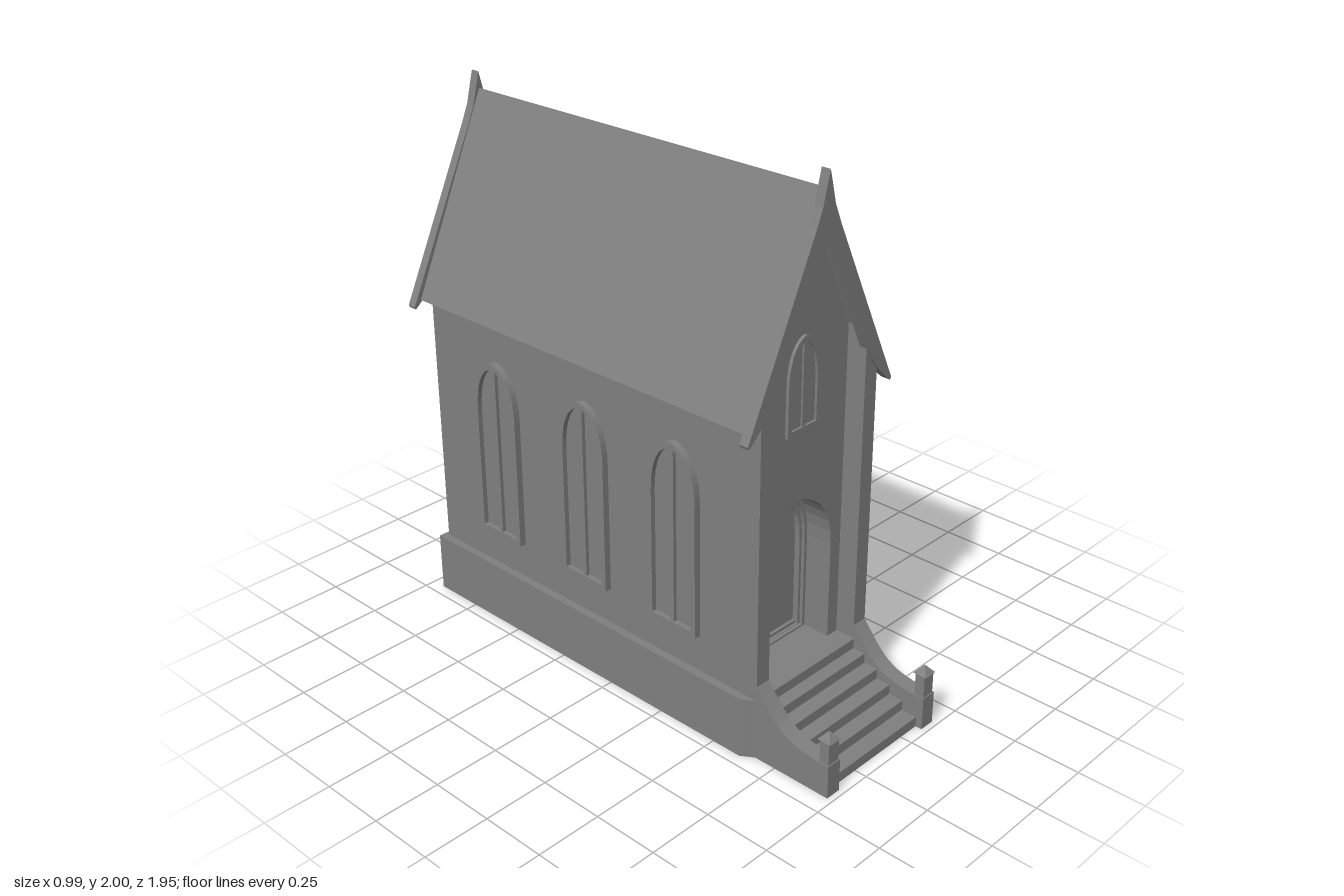
import * as THREE from 'three';

const CX = -0.141; // centre line of the nave
const DOOR_Z = 0.45; // back of the porch
const mat = new THREE.MeshStandardMaterial({ color: 0x7f7f7f, flatShading: true, side: THREE.DoubleSide });

const poly = (pts) => new THREE.Shape(pts.map(([x, y]) => new THREE.Vector2(x, y)));

// Mirror a half profile (u, y), listed from the centre outwards, about x = CX
const symmetric = (half) => [
  ...half.map(([u, y]) => [CX + u, y]),
  ...half.slice().reverse().map(([u, y]) => [CX - u, y]),
];

// Closed chevron between an outer and an inner half line, both listed from the ridge to the eave
function chevron(outer, inner) {
  const place = (pts, s) => pts.map(([u, y]) => [CX + s * u, y]);
  return poly([
    ...place(outer, 1), ...place(inner, 1).reverse(),
    ...place(inner, -1).slice(1), ...place(outer, -1).slice(1).reverse(),
  ]);
}

function add(parent, name, geo, x = 0, y = 0, z = 0) {
  const m = new THREE.Mesh(geo, mat);
  m.name = name;
  m.position.set(x, y, z);
  parent.add(m);
  return m;
}

function extrude(parent, name, shape, z0, z1) {
  const geo = new THREE.ExtrudeGeometry(shape, { depth: z1 - z0, bevelEnabled: false });
  return add(parent, name, geo, 0, 0, z0);
}

const box = (parent, name, w, h, d, x, y, z) => add(parent, name, new THREE.BoxGeometry(w, h, d), x, y, z);

// Right half of a slightly pointed arch, from the springing to the crown
function halfArch(w, top, rise, point, n = 8) {
  const s = top - rise;
  return new THREE.CubicBezierCurve(
    new THREE.Vector2(w, s), new THREE.Vector2(w, s + rise * 0.6),
    new THREE.Vector2(w * 0.6, top - point), new THREE.Vector2(0, top),
  ).getPoints(n).map((p) => [p.x, p.y]);
}

function archPoints(w, bottom, top, rise, point, cx = 0) {
  const r = halfArch(w, top, rise, point);
  const l = r.slice(0, -1).reverse().map(([x, y]) => [-x, y]);
  return [[w, bottom], ...r, ...l, [-w, bottom]].map(([x, y]) => [x + cx, y]);
}

// Ring of an arch with a frame of width f
function archFrame(w, bottom, top, rise, f, point) {
  const s = poly(archPoints(w, bottom, top, rise, point));
  s.holes.push(poly(archPoints(w - f, bottom + f, top - f, rise - f * 0.5, point)));
  return s;
}

// Arched window facing +z, standing on y = 0
function archWindow(parent, name, width, height, rise, depth, pos, turn = 0) {
  const g = new THREE.Group();
  g.name = name;
  const w = width / 2, f = 0.02, point = 0.012;
  extrude(g, 'windowFrame', archFrame(w, 0, height, rise, f, point), -0.01, depth);
  extrude(g, 'windowPane', poly(archPoints(w - f / 2, f / 2, height - f / 2, rise, point)), -0.01, depth * 0.25);
  box(g, 'mullion', 0.016, height - f * 1.5, depth * 0.8, 0, height / 2, depth * 0.4);
  g.position.set(...pos);
  g.rotation.y = turn;
  parent.add(g);
}

function buildNave(g) {
  const gable = [[0, 1.905], [0.285, 1.278], [0.285, 0]];
  extrude(g, 'naveBody', poly(symmetric(gable)), -0.85, DOOR_Z);

  // Front wall with the arched porch opening
  const front = poly(symmetric(gable));
  front.holes.push(poly(archPoints(0.175, 0.23, 0.85, 0.25, 0.04, CX)));
  extrude(g, 'porchWall', front, DOOR_Z, 0.59);

  // Corner pilasters at both ends
  for (const s of [-1, 1]) {
    const p = [[0.225, 0], [0.285, 0], [0.285, 1.278], [0.225, 1.41]].map(([u, y]) => [CX + s * u, y]);
    extrude(g, 'frontPilaster', poly(p), 0.58, 0.667);
    extrude(g, 'backPilaster', poly(p), -0.926, -0.84);
  }

  // Plinth with chamfered front corners, drawn as a plan
  const plan = poly(symmetric([[0.285, 0.666], [0.315, 0.62], [0.315, -0.945]]));
  const plinth = new THREE.ExtrudeGeometry(plan, { depth: 0.23, bevelEnabled: false });
  plinth.rotateX(Math.PI / 2);
  add(g, 'plinth', plinth, 0, 0.23, 0);

  // Steep thin roof and the flared boards at its ends
  extrude(g, 'mainRoof', chevron([[0, 1.94], [0.325, 1.22]], [[0, 1.915], [0.314, 1.22]]), -0.945, 0.645);
  const board = chevron(
    [[0, 2], [0.012, 1.955], [0.03, 1.885], [0.058, 1.82], [0.355, 1.2], [0.35, 1.19]],
    [[0, 1.825], [0.225, 1.34], [0.255, 1.29], [0.285, 1.25], [0.32, 1.215]],
  );
  for (const z of [0.64, -0.975]) extrude(g, 'bargeBoard', board, z, z + 0.035);
}

function buildDoor(g) {
  const d = new THREE.Group();
  d.name = 'door';
  d.position.set(CX, 0, DOOR_Z);
  g.add(d);
  extrude(d, 'outerDoorFrame', archFrame(0.175, 0.225, 0.85, 0.25, 0.012, 0.04), 0, 0.035);
  extrude(d, 'innerDoorFrame', archFrame(0.166, 0.225, 0.84, 0.245, 0.014, 0.04), 0, 0.022);
  // Two leaves, each a raised border around a sunken panel
  for (const s of [-1, 1]) {
    const leaf = (w, x0, bottom, top) => {
      const arc = halfArch(w, top, 0.22, 0.03, 12).filter(([x]) => x > x0 + 0.004);
      const last = arc[arc.length - 1][1];
      return poly([[x0, bottom], [w, bottom], ...arc, [x0, last + 0.003]].map(([x, y]) => [s * x, y]));
    };
    const border = leaf(0.16, 0, 0.23, 0.825);
    border.holes.push(leaf(0.155, 0.016, 0.25, 0.8));
    extrude(d, 'doorLeaf', border, 0, 0.012);
  }
}

function buildAnnex(g) {
  extrude(g, 'annexBody', poly([[0.1, 0], [0.425, 0], [0.425, 0.72], [0.144, 1.04], [0.1, 1.04]]), -0.535, 0.155);
  extrude(g, 'annexRoof', poly([[0.134, 1.08], [0.495, 0.665], [0.48, 0.65], [0.134, 1.03]]), -0.64, 0.255);
  archWindow(g, 'annexFrontWindow', 0.135, 0.34, 0.15, 0.012, [0.274, 0.33, 0.155]);
  archWindow(g, 'annexBackWindow', 0.135, 0.34, 0.15, 0.012, [0.274, 0.33, -0.535], Math.PI);

  // Low side window with two panes
  const rect = (x0, x1, y0, y1) => poly([[x0, y0], [x1, y0], [x1, y1], [x0, y1]]);
  const frame = rect(-0.158, 0.158, 0, 0.143);
  frame.holes.push(rect(-0.143, -0.008, 0.015, 0.128), rect(0.008, 0.143, 0.015, 0.128));
  const w = extrude(g, 'annexSideWindow', frame, 0, 0.008);
  w.position.set(0.425, 0.39, -0.193);
  w.rotation.y = Math.PI / 2;
}

function buildStairs(g) {
  const ends = [0.953, 0.891, 0.834, 0.777, 0.72, 0.67];
  ends.forEach((z, i) => {
    const h = 0.0383 * (i + 1);
    box(g, 'step', 0.46, h, z - 0.6, CX, h / 2, (z + 0.6) / 2);
  });

  // Sweeping parapets with capped posts
  const side = poly([[0.62, 0], [0.978, 0], [0.978, 0.125]]);
  side.lineTo(0.93, 0.125);
  side.bezierCurveTo(0.78, 0.135, 0.76, 0.17, 0.667, 0.285);
  side.lineTo(0.62, 0.285);
  for (const s of [-1, 1]) {
    const x = CX + s * 0.255;
    const geo = new THREE.ExtrudeGeometry(side, { depth: 0.06, bevelEnabled: false, curveSegments: 10 });
    geo.rotateY(-Math.PI / 2);
    add(g, 'parapet', geo, x + 0.03, 0, 0);
    box(g, 'post', 0.05, 0.09, 0.038, x, 0.165, 0.955);
    const cap = new THREE.ConeGeometry(0.038, 0.032, 4);
    cap.rotateY(Math.PI / 4);
    add(g, 'postCap', cap, x, 0.225, 0.953);
  }
}

export function createModel() {
  const g = new THREE.Group();
  g.name = 'chapel';
  buildNave(g);
  buildDoor(g);
  buildAnnex(g);
  buildStairs(g);

  // Windows of the gables and of the long right-hand wall
  archWindow(g, 'frontGableWindow', 0.16, 0.34, 0.17, 0.012, [CX, 1.1, 0.59]);
  archWindow(g, 'backGableWindow', 0.135, 0.235, 0.13, 0.015, [CX, 1.3, -0.85], Math.PI);
  archWindow(g, 'backWindow', 0.21, 0.7, 0.2, 0.025, [CX, 0.37, -0.85], Math.PI);
  for (const z of [-0.58, -0.13, 0.3]) {
    archWindow(g, 'sideWindow', 0.22, 0.7, 0.2, 0.025, [CX - 0.285, 0.37, z], -Math.PI / 2);
  }
  return g;
}
